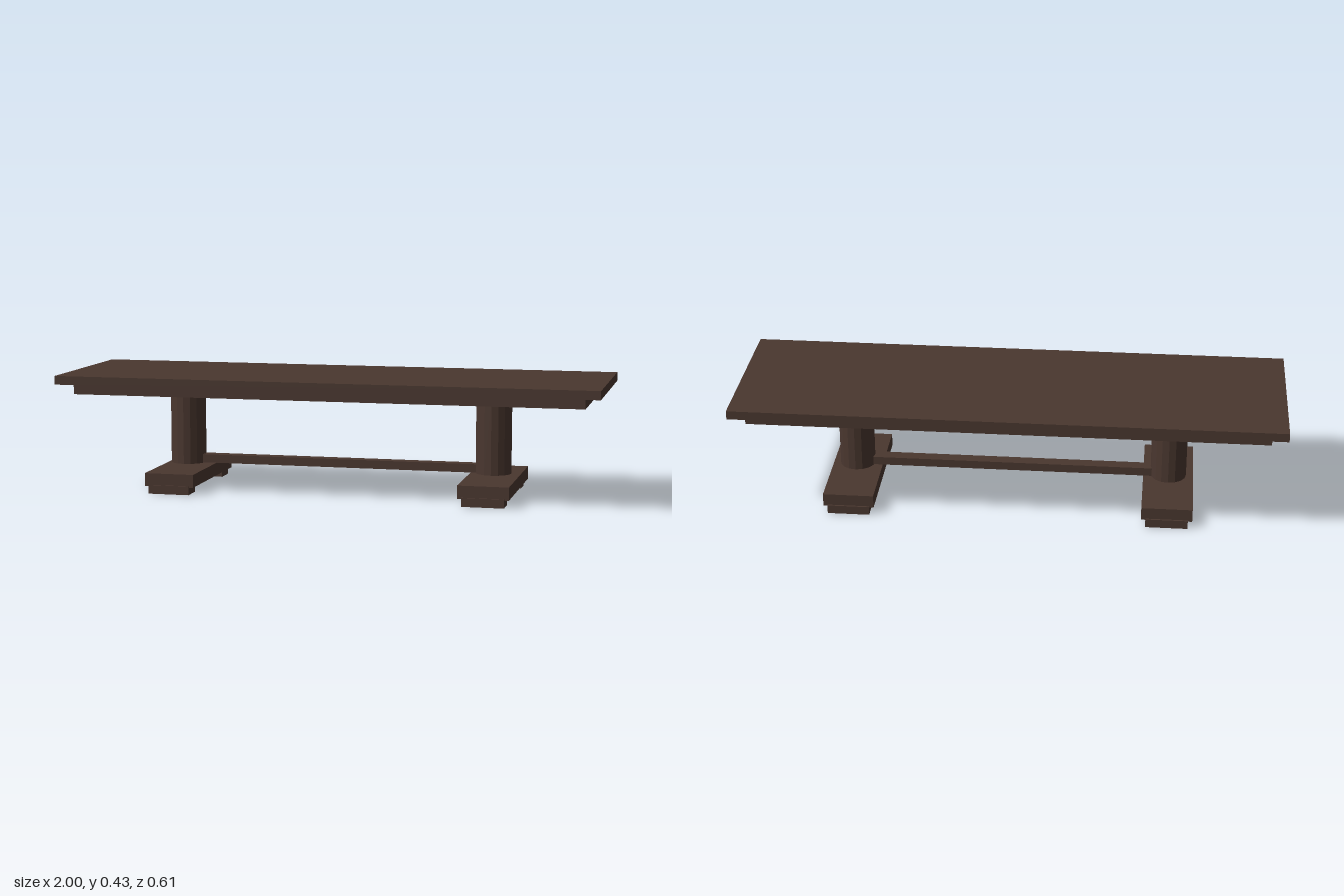
import * as THREE from 'three';

export function createModel() {
  const table = new THREE.Group();
  table.name = 'trestleTable';
  const darkWood = new THREE.MeshStandardMaterial({ color: 0x4a372f });
  darkWood.name = 'darkWood';

  function add(parent, name, geometry, x, y, z) {
    const mesh = new THREE.Mesh(geometry, darkWood);
    mesh.name = name;
    mesh.position.set(x, y, z);
    parent.add(mesh);
  }

  // Box given by its width, bottom, top and depth
  function addBox(parent, name, w, y0, y1, d, x = 0, z = 0) {
    add(parent, name, new THREE.BoxGeometry(w, y1 - y0, d), x, (y0 + y1) / 2, z);
  }

  // Top board and the inset frame beneath it
  addBox(table, 'tableTop', 2, 0.402, 0.434, 0.61);
  addBox(table, 'underFrame', 1.886, 0.363, 0.401, 0.522);

  // Rail joining the two pedestals
  addBox(table, 'stretcher', 1.1, 0.087, 0.118, 0.045);

  // Faceted column, cross foot and two floor pads at each end
  const column = new THREE.CylinderGeometry(0.066, 0.066, 0.265, 16).toNonIndexed();
  column.computeVertexNormals();
  for (const side of [-1, 1]) {
    const pedestal = new THREE.Group();
    pedestal.name = side > 0 ? 'leftPedestal' : 'rightPedestal';
    pedestal.position.x = side * 0.584;
    add(pedestal, 'column', column, 0, 0.2175, 0);
    addBox(pedestal, 'crossFoot', 0.186, 0.027, 0.075, 0.489);
    for (const end of [-1, 1]) {
      addBox(pedestal, end > 0 ? 'frontPad' : 'backPad', 0.154, 0, 0.032, 0.077, 0, end * 0.2125);
    }
    table.add(pedestal);
  }
  return table;
}
